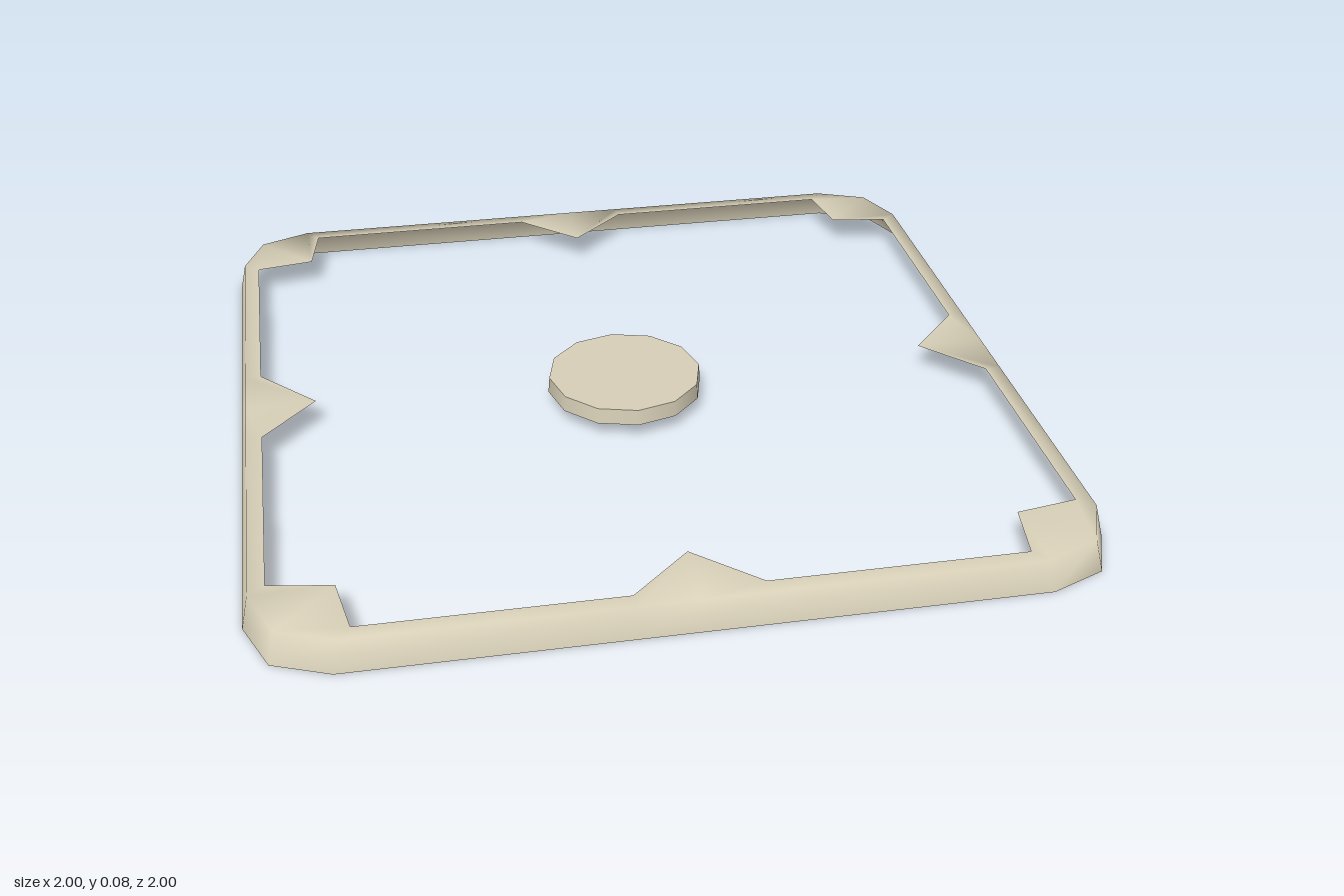
import * as THREE from 'three';

// Indexed grid of faces between consecutive closed loops of [x, y, z] points
function loftLoops(loops) {
  const n = loops[0].length;
  const index = [];
  for (let r = 0; r < loops.length - 1; r++) {
    for (let i = 0; i < n; i++) {
      const a = r * n + i, b = r * n + (i + 1) % n;
      index.push(a, b, b + n, a, b + n, a + n);
    }
  }
  const geometry = new THREE.BufferGeometry();
  geometry.setAttribute('position', new THREE.Float32BufferAttribute(loops.flat(2), 3));
  geometry.setIndex(index);
  geometry.computeVertexNormals();
  return geometry;
}

// Repeats one side's [x, z] points around all four sides
function fourSides(points, y) {
  const loop = [];
  for (let k = 0; k < 4; k++) {
    const c = Math.round(Math.cos(k * Math.PI / 2)), s = Math.round(Math.sin(k * Math.PI / 2));
    for (const [x, z] of points) loop.push([x * c + z * s, y, -x * s + z * c]);
  }
  return loop;
}

export function createModel() {
  const group = new THREE.Group();
  const ivory = new THREE.MeshStandardMaterial({ color: 0xd8d0b8, side: THREE.DoubleSide });
  ivory.name = 'ivory';

  // Open frame: sloping outer wall, flat top lip with a tooth on every side and corner tabs
  const top = 0.078;
  const outer = [[-0.81, 1], [-0.15, 1], [0, 1], [0.15, 1], [0.81, 1], [0.945, 0.945]];
  const inner = [[-0.765, 0.943], [-0.15, 0.943], [0, 0.805], [0.15, 0.943], [0.765, 0.943], [0.79, 0.79]];
  const shoulder = outer.map(([x, z]) => [x * 0.983, z * 0.983]);
  const frame = new THREE.Mesh(
    loftLoops([fourSides(outer, 0), fourSides(shoulder, top), fourSides(inner, top)]), ivory);
  frame.name = 'frame';
  group.add(frame);

  // Centre button: twelve-sided cap with a short skirt, open underneath
  const button = new THREE.Group();
  button.name = 'centreButton';
  const capTop = 0.083, skirtHeight = 0.042;
  const cap = new THREE.Mesh(new THREE.CircleGeometry(0.2, 12).rotateX(-Math.PI / 2), ivory);
  cap.name = 'buttonCap';
  cap.position.y = capTop;
  const skirt = new THREE.Mesh(
    new THREE.CylinderGeometry(0.2, 0.203, skirtHeight, 12, 1, true), ivory);
  skirt.name = 'buttonSkirt';
  skirt.position.y = capTop - skirtHeight / 2;
  button.add(cap, skirt);
  group.add(button);

  return group;
}
